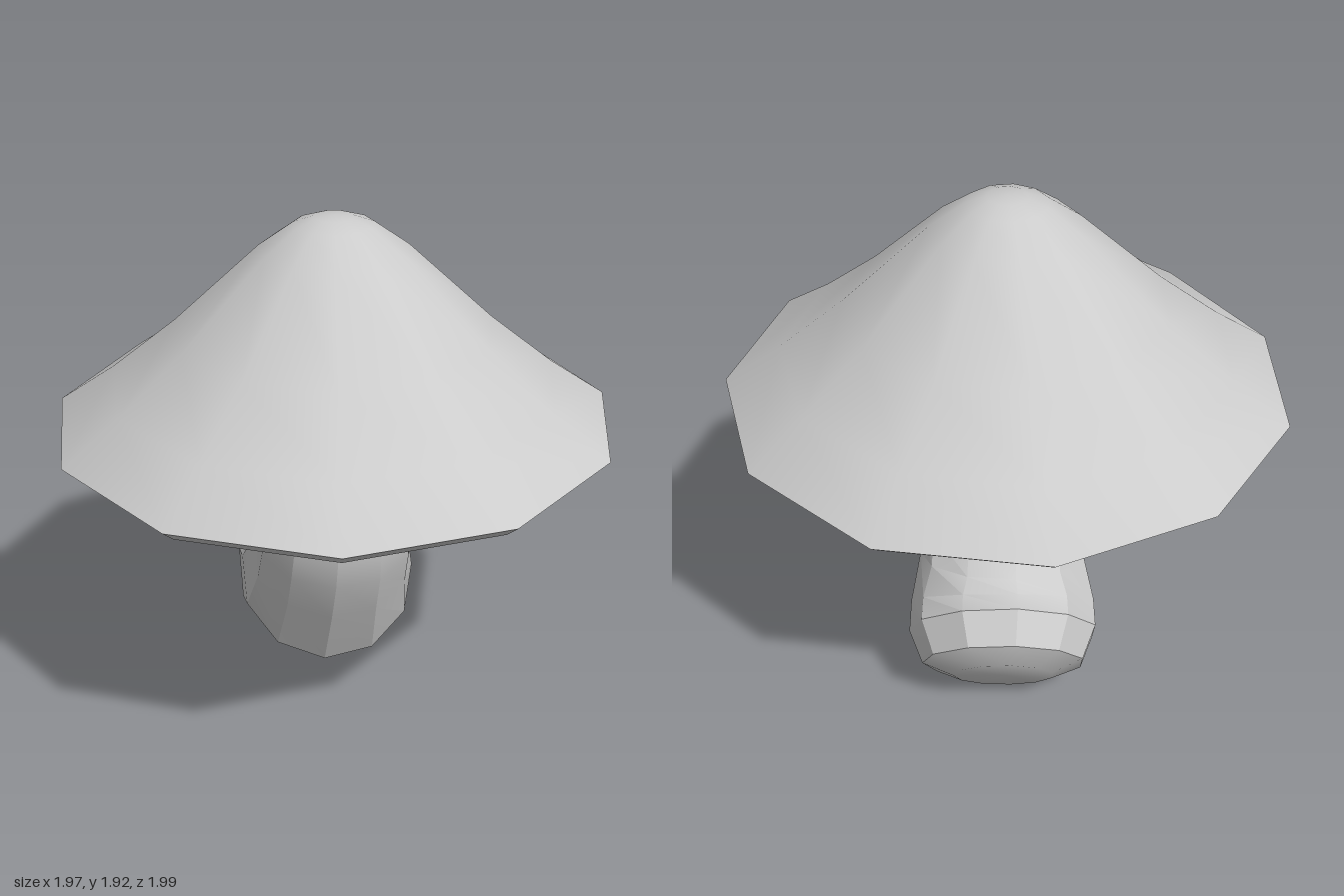
import * as THREE from 'three';
import { toCreasedNormals } from 'three/addons/utils/BufferGeometryUtils.js';

const SIDES = 11;
const CREASE = THREE.MathUtils.degToRad(30);

// Pointed cap with a thin rim and a shallow conical underside
function createCap(material) {
  const profile = [
    [0.27, 0.98], [0.955, 1.155], [1.005, 1.2], [0.8, 1.34], [0.565, 1.53],
    [0.26, 1.815], [0.14, 1.9], [0.07, 1.925], [0, 1.93],
  ].map(([r, y]) => new THREE.Vector2(r, y));
  const lathe = new THREE.LatheGeometry(profile, SIDES, Math.PI / 2);
  const cap = new THREE.Mesh(toCreasedNormals(lathe, CREASE), material);
  cap.name = 'cap';
  cap.position.x = -0.02;
  return cap;
}

// Stem swept through tilted rings, bending towards the back
function createStem(material) {
  // Each ring: front z, front y, back z, back y
  const rings = [
    [0.25, 0.985, -0.3, 0.985],
    [0.26, 0.89, -0.3, 0.89],
    [0.26, 0.8, -0.3, 0.82],
    [0.25, 0.7, -0.33, 0.76],
    [0.22, 0.59, -0.37, 0.7],
    [0.13, 0.4, -0.44, 0.64],
    [-0.02, 0.11, -0.49, 0.615],
    [-0.19, 0.03, -0.565, 0.615],
    [-0.315, 0.005, -0.638, 0.505],
    [-0.42, 0.08, -0.62, 0.39],
    [-0.52, 0.235, -0.52, 0.235],
  ];
  const positions = [];
  const indices = [];
  rings.forEach(([zf, yf, zb, yb], i) => {
    const dz = (zf - zb) / 1.98;
    const dy = (yf - yb) / 1.98;
    const radius = Math.hypot(dz, dy);
    for (let j = 0; j < SIDES; j++) {
      const a = (j / SIDES) * Math.PI * 2;
      positions.push(
        radius * Math.cos(a) - 0.008,
        (yf + yb) / 2 + dy * Math.sin(a),
        (zf + zb) / 2 + dz * Math.sin(a),
      );
      if (i === rings.length - 1) continue;
      const k = i * SIDES + j;
      const next = i * SIDES + ((j + 1) % SIDES);
      indices.push(k, next, k + SIDES, next, next + SIDES, k + SIDES);
    }
  });
  const swept = new THREE.BufferGeometry();
  swept.setAttribute('position', new THREE.Float32BufferAttribute(positions, 3));
  swept.setIndex(indices);
  const geometry = toCreasedNormals(swept, CREASE);

  // Soften the join by blending the top normals into the underside of the cap
  const position = geometry.attributes.position;
  const normal = geometry.attributes.normal;
  const n = new THREE.Vector3();
  for (let i = 0; i < position.count; i++) {
    if (position.getY(i) < 0.98) continue;
    n.fromBufferAttribute(normal, i);
    n.y -= 0.9;
    n.normalize();
    normal.setXYZ(i, n.x, n.y, n.z);
  }
  const stem = new THREE.Mesh(geometry, material);
  stem.name = 'stem';
  return stem;
}

export function createModel() {
  const material = new THREE.MeshStandardMaterial({ color: 0xcccccc });
  const mushroom = new THREE.Group();
  mushroom.name = 'mushroom';
  mushroom.add(createCap(material), createStem(material));
  return mushroom;
}
